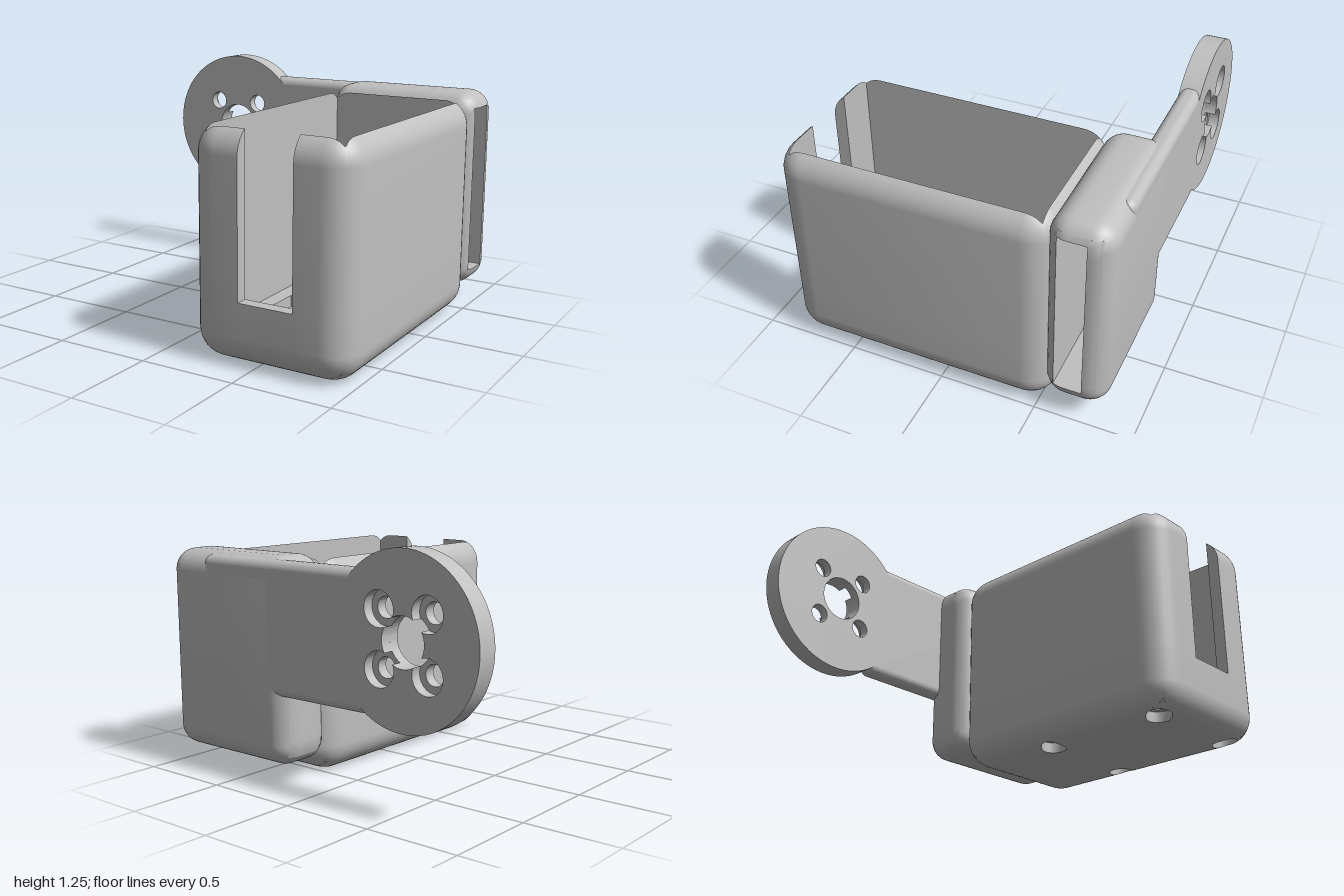
import * as THREE from 'three';
import { mergeGeometries, toCreasedNormals } from 'three/addons/utils/BufferGeometryUtils.js';
import { RoundedBoxGeometry } from 'three/addons/geometries/RoundedBoxGeometry.js';

const PI = Math.PI;

// Surface of (nu x nv) quads from a point function; skip(i, j) leaves openings
function grid(nu, nv, point, skip = () => false) {
  const pos = [], idx = [];
  for (let i = 0; i <= nu; i++) for (let j = 0; j <= nv; j++) pos.push(...point(i, j));
  for (let i = 0; i < nu; i++) for (let j = 0; j < nv; j++) {
    if (skip(i, j)) continue;
    const a = i * (nv + 1) + j, b = a + nv + 1;
    idx.push(a, a + 1, b, b, a + 1, b + 1);
  }
  const g = new THREE.BufferGeometry();
  g.setAttribute('position', new THREE.Float32BufferAttribute(pos, 3));
  g.setIndex(idx);
  return g;
}

const smooth = (g) => toCreasedNormals(g, 0.5);

// Depth of a rounded box's end face below its flat level
const roundedEnd = (hx, hz, R) => (x, z) => {
  const dx = Math.max(0, Math.abs(x) - hx + R), dz = Math.max(0, Math.abs(z) - hz + R);
  return R - Math.sqrt(Math.max(0, R * R - dx * dx - dz * dz));
};

// Sides of a rounded box standing on y = 0, cut at both ends by a rectangle inset by a
function sideColumns(hx, hz, H, R, a, slotHalf, sill, floor) {
  const loop = [], n = 8, m = 8;
  [[1, 1], [-1, 1], [-1, -1], [1, -1]].forEach(([sx, sz], k) => {
    for (let i = 0; i <= n; i++) loop.push([sx * (hx - R), sz * (hz - R), (k + i / n) * PI / 2]);
    if (k === 0 && slotHalf) for (const s of [1, -1]) loop.push([s * slotHalf, hz - R, PI / 2]);
  });
  loop.push(loop[0]);
  const rows = [];
  for (let j = 0; j <= m; j++) rows.push({ t: j / m - 1, y: R });
  if (sill) rows.push({ t: 0, y: sill });
  for (let j = 0; j <= m; j++) rows.push({ t: j / m, y: H - R });
  if (sill) rows.push({ t: 1, at: sill }, { t: 1, at: floor });
  const point = (i, j) => {
    const [cx, cz, th] = loop[i], r = rows[j];
    const reach = (R - a) / R / Math.max(Math.abs(Math.cos(th)), Math.abs(Math.sin(th)));
    const phi = Math.acos(reach) * r.t, c = R * Math.cos(phi);
    return [cx + c * Math.cos(th), r.at ?? r.y + R * Math.sin(phi), cz + c * Math.sin(th)];
  };
  return { point, nu: loop.length - 1, nv: rows.length - 1, slot: n + 1, sillRow: m + 1 };
}

// Flat-to-curved patch over a rectangle
const patch = (x0, x1, z0, z1, surf, n = 8) => grid(n, n, (i, j) => {
  const x = x0 + (x1 - x0) * i / n, z = z0 + (z1 - z0) * j / n;
  return [x, surf(x, z), z];
});

// Patch over a rectangle with an opening whose wall runs to height wallY
function openPatch(cx, cz, hx, hz, inner, wallY, surf, n = 8) {
  return grid(4 * n, 5, (i, j) => {
    const q = 2 * (i % n) / n - 1;
    const [u, v] = [[1, q], [-q, 1], [-1, -q], [q, -1]][Math.floor(i / n) % 4];
    const [ix, iz] = inner(u, v), k = Math.max(0, j - 1) / 4;
    const x = ix + (cx + u * hx - ix) * k, z = iz + (cz + v * hz - iz) * k;
    return [x, j === 0 ? wallY : surf(x, z), z];
  });
}

function circle(x, y, r) {
  return new THREE.Path().absarc(x, y, r, 0, 2 * PI);
}
function rect(hx, y0, y1, Type = THREE.Path) {
  return new Type([[-hx, y0], [hx, y0], [hx, y1], [-hx, y1]].map((p) => new THREE.Vector2(...p)));
}
const extrude = (shape, depth) =>
  smooth(new THREE.ExtrudeGeometry(shape, { depth, bevelEnabled: false, curveSegments: 48 }));

export function createModel() {
  const model = new THREE.Group();
  const grey = new THREE.MeshStandardMaterial({ color: 0xc0c0c0, side: THREE.DoubleSide });
  grey.name = 'grey plastic';
  const add = (parent, name, geometry, x = 0, y = 0, z = 0) => {
    const mesh = new THREE.Mesh(geometry, grey);
    mesh.name = name;
    mesh.position.set(x, y, z);
    parent.add(mesh);
  };

  // Open-topped case with a slot in its front wall
  const box = new THREE.Group();
  box.name = 'openCase';
  box.position.set(0.5775, 0, 0.14);
  model.add(box);
  const HX = 0.4225, HZ = 0.71, R = 0.15, WALL = 0.065, SILL = 0.32, FLOOR = 0.13, SLOT = 0.1425;
  const s = sideColumns(HX, HZ, 1.14, R, WALL, SLOT, SILL, FLOOR);
  const lastSlotRow = s.nv - 1;
  const parts = [grid(s.nu, s.nv, s.point,
    (i, j) => i === s.slot && j >= s.sillRow && j < lastSlotRow)];

  // Underside with four screw bores
  const dip = roundedEnd(HX, HZ, R);
  const xs = [-0.3575, -0.2125, 0.2125, 0.3575], zs = [-0.645, -0.5, -0.2, -0.04, 0.485, 0.645];
  for (let i = 0; i < 3; i++) for (let j = 0; j < 5; j++) {
    const cx = (xs[i] + xs[i + 1]) / 2, cz = (zs[j] + zs[j + 1]) / 2;
    if (i !== 1 && (j === 2 || j === 4)) {
      const bore = (u, v) => [cx + 0.065 * u / Math.hypot(u, v), cz + 0.065 * v / Math.hypot(u, v)];
      parts.push(openPatch(cx, cz, (xs[i + 1] - xs[i]) / 2, (zs[j + 1] - zs[j]) / 2, bore, 0.055, dip));
    } else parts.push(patch(xs[i], xs[i + 1], zs[j], zs[j + 1], dip));
  }
  add(box, 'caseShell', smooth(mergeGeometries(parts)));

  // Slot edges
  for (const i of [s.slot, s.slot + 1]) {
    const outline = [];
    for (let j = s.sillRow; j <= lastSlotRow; j++) {
      const p = s.point(i, j);
      outline.push(new THREE.Vector2(p[2], p[1]));
    }
    const side = new THREE.ShapeGeometry(new THREE.Shape(outline)).rotateY(-PI / 2);
    add(box, 'slotSide', side, i === s.slot ? SLOT : -SLOT);
  }
  add(box, 'slotSill', new THREE.PlaneGeometry(2 * SLOT, WALL).rotateX(-PI / 2), 0, SILL, HZ - WALL / 2);

  // Floor: a thin base, then a layer with round and square recesses
  const floorLayer = (name, recesses, top, depth) => {
    const shape = rect(0.3575, -0.645, 0.645, THREE.Shape);
    for (const x of [-0.285, 0.285]) for (const z of [-0.12, 0.565]) shape.holes.push(circle(x, z, 0.035));
    shape.holes.push(...recesses);
    add(box, name, extrude(shape, depth).rotateX(PI / 2), 0, top);
  };
  floorLayer('floorBase', [], 0.07, 0.015);
  floorLayer('recessedFloor', [circle(0, -0.35, 0.292), rect(0.275, -0.005, 0.5)], FLOOR, 0.06);

  // Rear housing, built upright then laid so that its pocket opens to the left side
  const bx = 0.525, bz = 0.16, L = 0.845, r = 0.11, a = 0.05;
  const h = sideColumns(bx, bz, L, r, a);
  const end = roundedEnd(bx, bz, r);
  const pocket = (u, v) => [-0.005 + 0.44 * u, 0.0275 + 0.0725 * v];
  const housing = smooth(mergeGeometries([
    grid(h.nu, h.nv, h.point),
    patch(-bx + a, bx - a, -bz + a, bz - a, end, 24),
    openPatch(0, 0, bx - a, bz - a, pocket, 0.065, (x, z) => L - end(x, z), 24),
    patch(-0.445, 0.435, -0.045, 0.1, () => 0.065, 1),
  ])).rotateZ(-PI / 2);
  add(model, 'rearHousing', housing, 0.155, 0.625, -0.69);

  // Arm joining the housing to the mounting disc
  add(model, 'arm', new RoundedBoxGeometry(1.09, 0.67, 0.11, 5, 0.045), 0.185, 0.8, -0.795);

  // Mounting disc: plain holes in front, wider bores opening into the centre behind
  const D = 0.194, C = 0.12, B = 0.085;
  const discShape = () => new THREE.Shape().absarc(0, 0, 0.415, 0, 2 * PI);
  const front = discShape(), back = discShape(), lobes = new THREE.Path();
  front.holes.push(circle(0, 0, C));
  const phi = Math.acos((D * D + C * C - B * B) / (2 * D * C));
  const psi = Math.acos((D * D + B * B - C * C) / (2 * D * B));
  for (let i = 0; i < 4; i++) {
    const t = PI / 4 + i * PI / 2, x = D * Math.cos(t), y = D * Math.sin(t);
    front.holes.push(circle(x, y, 0.05));
    lobes.absarc(x, y, B, t - PI + psi, t + PI - psi);
    lobes.absarc(0, 0, C, t + phi, t + PI / 2 - phi);
  }
  back.holes.push(lobes);
  add(model, 'discFront', extrude(front, 0.055), -0.585, 0.83, -0.795);
  add(model, 'discBack', extrude(back, 0.055), -0.585, 0.83, -0.85);

  return model;
}
